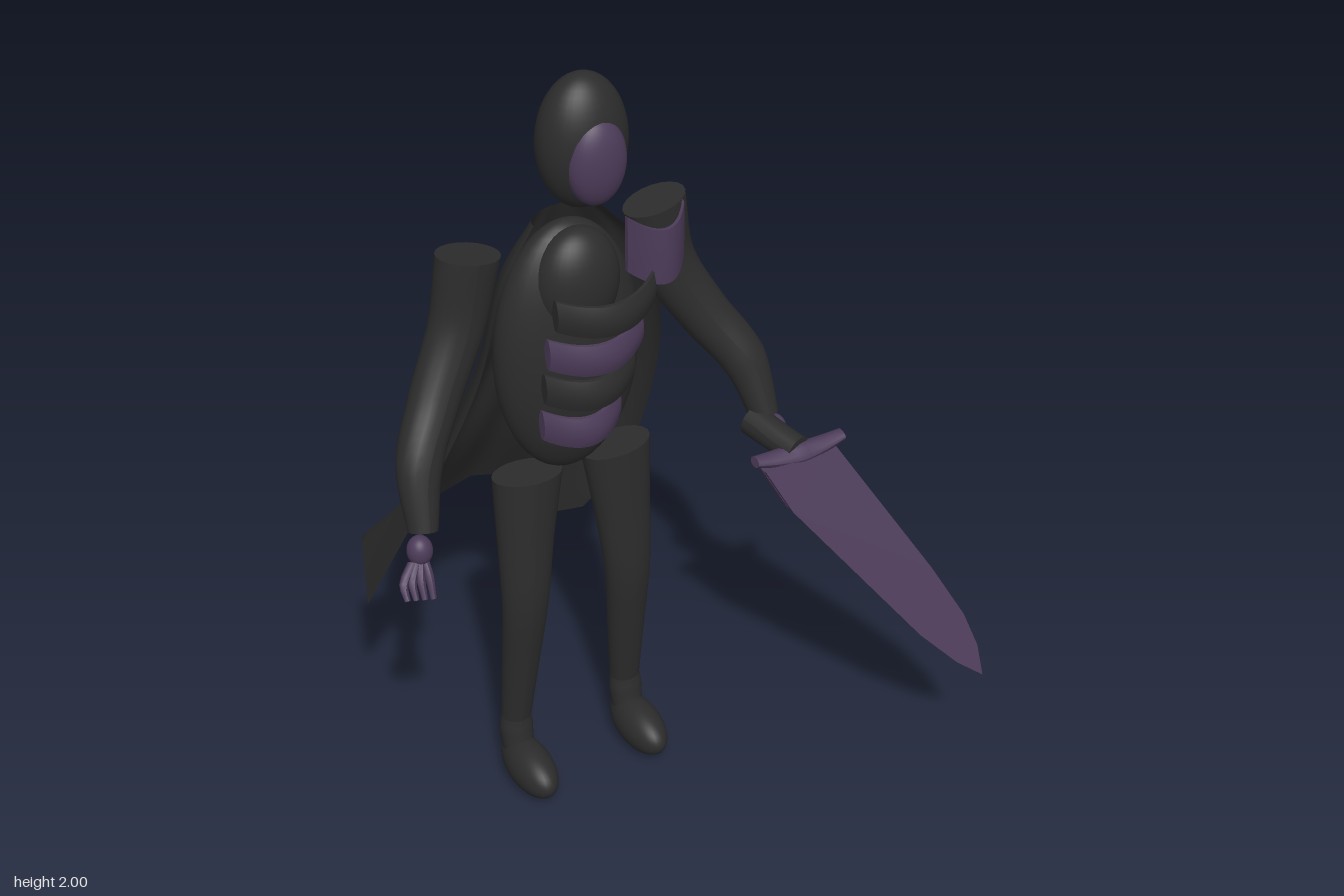
import * as THREE from 'three';

const dark = new THREE.MeshStandardMaterial({ color: 0x2c2c2c });
dark.name = 'charcoal';
const cloth = new THREE.MeshStandardMaterial({ color: 0x292929, side: THREE.DoubleSide });
cloth.name = 'charcoal cloth';
const purple = new THREE.MeshStandardMaterial({ color: 0x4c3b59 });
purple.name = 'dusky purple';

const MID = -0.163; // symmetry plane of the figure
const flip = (x, side) => MID + side * (x - MID);

export function createModel() {
  const model = new THREE.Group();
  const add = (name, geo, mat, parent = model) => {
    const mesh = new THREE.Mesh(geo, mat);
    mesh.name = name;
    parent.add(mesh);
  };
  const ball = (name, [x, y, z], [rx, ry, rz], mat, parent) =>
    add(name, new THREE.SphereGeometry(1, 32, 24).scale(rx, ry, rz).translate(x, y, z), mat, parent);

  // Capped limb with an elliptical section; rows are [x, y, z, width radius, depth radius]
  const limb = (rows, side = 1, rings = 24, sides = 20) => {
    const path = new THREE.CatmullRomCurve3(rows.map(r => new THREE.Vector3(flip(r[0], side), r[1], r[2])));
    const geo = new THREE.CylinderGeometry(1, 1, 1, sides, rings);
    const p = geo.attributes.position;
    for (let i = 0; i < p.count; i++) {
      const t = THREE.MathUtils.clamp(0.5 - p.getY(i), 0, 1);
      const f = t * (rows.length - 1), k = Math.min(Math.floor(f), rows.length - 2);
      const r = j => THREE.MathUtils.lerp(rows[k][j], rows[k + 1][j], f - k);
      const T = path.getTangent(t);
      const n1 = new THREE.Vector3(0, 0, 1).cross(T).normalize();
      const n2 = T.clone().cross(n1);
      const v = path.getPoint(t).addScaledVector(n1, p.getX(i) * r(3)).addScaledVector(n2, p.getZ(i) * r(4));
      p.setXYZ(i, v.x, v.y, v.z);
    }
    geo.computeVertexNormals();
    return geo;
  };

  // Curved armour strip with a lens-shaped section; bulge thickens its middle
  const strip = (name, x, y, z, w, h, depth, sag, bulge, mat) => {
    const geo = new THREE.BoxGeometry(1, 1, 1, 16, 4, 1);
    const p = geo.attributes.position;
    for (let i = 0; i < p.count; i++) {
      const u = p.getX(i), v = p.getY(i), bow = 1 - 4 * u * u;
      p.setXYZ(i, x + u * w, y + v * h - sag * (bow - 0.5),
        z + depth * bow + p.getZ(i) * (0.01 + bulge * (1 - 4 * v * v)));
    }
    geo.computeVertexNormals();
    add(name, geo, mat);
  };

  // Head and body
  ball('head', [-0.151, 1.84, -0.04], [0.107, 0.16, 0.084], dark);
  ball('facePlate', [-0.147, 1.814, 0.017], [0.071, 0.105, 0.047], purple);
  ball('torso', [-0.163, 1.275, -0.11], [0.185, 0.335, 0.095], dark);
  ball('chest', [-0.155, 1.47, -0.07], [0.105, 0.135, 0.075], dark);
  [[-0.123, 1.434, 0.25], [-0.15, 1.339, 0.24], [-0.167, 1.249, 0.228], [-0.19, 1.153, 0.2]].forEach(([x, y, w], i) =>
    strip('chestBand', x, y, 0.003, w, 0.08, 0.052, 0.018, 0.02, i % 2 ? purple : dark));
  strip('shoulderPlate', 0.037, 1.525, -0.05, 0.147, 0.142, 0.053, 0.025, 0.004, purple);

  // Arms, hands, legs and feet, mirrored about the body's centre
  for (const side of [1, -1]) {
    const name = side > 0 ? 'left' : 'right';
    add(name + 'Arm', limb([
      [0.072, 1.588, -0.115, 0.078, 0.056], [0.107, 1.42, -0.115, 0.069, 0.055],
      [0.187, 1.27, -0.08, 0.062, 0.055], [0.262, 1.15, -0.02, 0.056, 0.05],
      [0.29, 1.01, 0.04, 0.035, 0.035]], side), dark);

    const hand = new THREE.Group();
    hand.name = name + 'Hand';
    model.add(hand);
    ball('palm', [flip(0.308, side), 0.972, 0.055], [0.03, 0.038, 0.03], purple, hand);
    for (let i = 0; i < 4; i++) {
      const x = 0.305 + i * 0.021;
      add('finger', limb([[0.303 + i * 0.01, 0.95, 0.065, 0.011, 0.011], [x, 0.922, 0.092, 0.011, 0.011],
        [x + 0.004, 0.876 + i * 0.006, 0.118, 0.007, 0.007]], side, 6, 8), purple, hand);
    }

    add(name + 'Leg', limb([
      [-0.044, 0.96, -0.098, 0.09, 0.057], [-0.03, 0.77, -0.09, 0.073, 0.05],
      [-0.02, 0.58, -0.085, 0.06, 0.045], [-0.013, 0.39, -0.108, 0.05, 0.041],
      [-0.005, 0.19, -0.132, 0.04, 0.034]], side), dark);
    add(name + 'Ankle', limb([[-0.003, 0.205, -0.134, 0.035, 0.032], [-0.003, 0.15, -0.132, 0.044, 0.038],
      [-0.003, 0.08, -0.12, 0.04, 0.036]], side, 10), dark);
    ball(name + 'Foot', [flip(-0.003, side), 0.063, -0.062], [0.056, 0.063, 0.115], dark);
  }

  // Cape: half-elliptical rows [centre x, y, half width, front z, depth] falling to a ragged hem
  const rows = [[-0.155, 1.62, 0.088, -0.1, 0.06], [-0.15, 1.5, 0.18, -0.085, 0.115],
    [-0.155, 1.25, 0.238, -0.1, 0.145], [-0.23, 0.95, 0.285, -0.15, 0.17]];
  const hem = [[-0.65, 0.6, -0.25], [-0.6, 0.7, -0.38], [-0.53, 0.68, -0.36], [-0.43, 0.66, -0.46],
    [-0.28, 0.74, -0.42], [-0.13, 0.7, -0.41], [-0.1, 0.6, -0.35], [-0.05, 0.66, -0.26], [0.0, 0.77, -0.2]]
    .map(h => new THREE.Vector3(...h));
  const cape = new THREE.PlaneGeometry(1, 1, 64, 24);
  const cp = cape.attributes.position;
  for (let i = 0; i < cp.count; i++) {
    const u = cp.getX(i) + 0.5, v = 0.5 - cp.getY(i), a = Math.PI * u;
    const k = Math.min(Math.floor(u * 8), 7);
    const fall = rows.map(([x, y, rx, z, rz]) =>
      new THREE.Vector3(x - rx * Math.cos(a), y, z - rz * Math.sin(a)));
    fall.push(hem[k].clone().lerp(hem[k + 1], u * 8 - k));
    const q = new THREE.CatmullRomCurve3(fall).getPoint(v);
    const fold = 0.007 * v * (1 - v) * 4 * Math.cos(u * Math.PI * 12);
    cp.setXYZ(i, q.x, q.y, q.z - fold * Math.sin(a));
  }
  cape.computeVertexNormals();
  add('cape', cape, cloth);

  // Sword: grip, guard and a blade of two parallel plates
  const sword = new THREE.Group();
  sword.name = 'sword';
  model.add(sword);
  add('grip', limb([[0.262, 0.999, 0.03, 0.04, 0.04], [0.28, 0.989, 0.1, 0.038, 0.038],
    [0.302, 0.98, 0.17, 0.036, 0.036]], 1, 6), dark, sword);
  add('guard', limb([[0.185, 0.985, 0.165, 0.012, 0.018], [0.24, 0.974, 0.165, 0.02, 0.025],
    [0.305, 0.968, 0.168, 0.03, 0.03], [0.37, 0.976, 0.172, 0.02, 0.025],
    [0.425, 0.988, 0.175, 0.012, 0.018]], 1, 16, 12), purple, sword);

  const outline = new THREE.Shape([[0.2, 0.965], [0.395, 0.975], [0.6, 0.62], [0.668, 0.485], [0.692, 0.4],
    [0.692, 0.325], [0.625, 0.378], [0.535, 0.475], [0.25, 0.86]].map(([x, y]) => new THREE.Vector2(x, y)));
  const lean = new THREE.Matrix4().set(1, 0, 0, 0, 0, 1, 0, 0, 0, -0.42, 1, 0.17 + 0.42 * 0.97, 0, 0, 0, 1);
  for (const [name, z] of [['backBlade', -0.023], ['frontBlade', 0.004]]) {
    const geo = new THREE.ExtrudeGeometry(outline, { depth: 0.019, bevelEnabled: false }).translate(0, 0, z);
    geo.applyMatrix4(lean).computeVertexNormals();
    add(name, geo, purple, sword);
  }

  return model;
}
